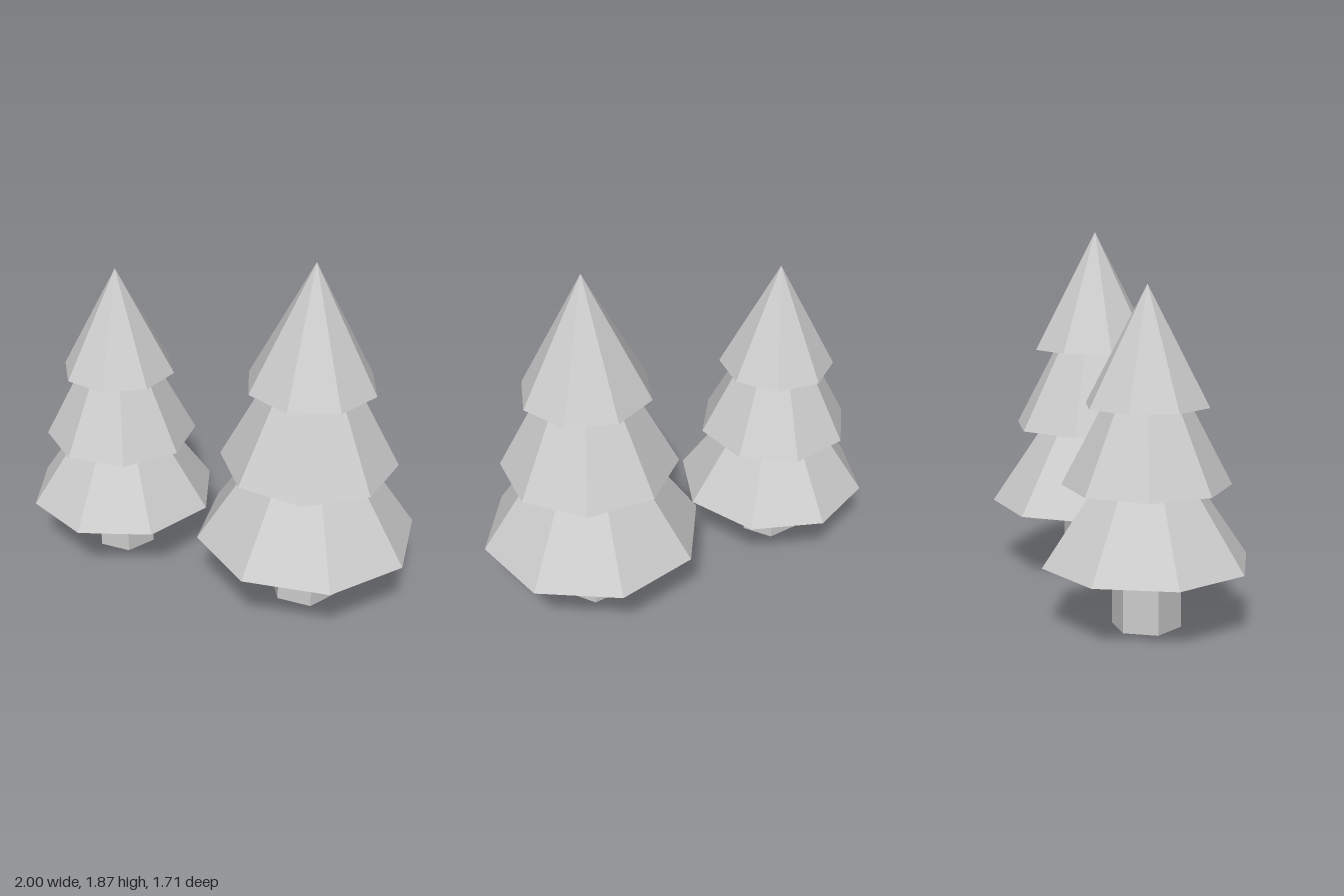
import * as THREE from 'three';

const needleGrey = new THREE.MeshStandardMaterial({ color: 0xcccccc });
needleGrey.name = 'lightGrey';

// Unshared corners give every facet its own flat normal
function facetedMesh(geometry, name) {
  const flat = geometry.index ? geometry.toNonIndexed() : geometry;
  flat.computeVertexNormals();
  const mesh = new THREE.Mesh(flat, needleGrey);
  mesh.name = name;
  return mesh;
}

// Six-sided trunk with a hollowed underside
function makeTrunk(radius, height) {
  const inner = radius * 0.7;
  const profile = [
    [inner, height], [inner, 0.02], [radius, 0], [radius, height],
  ].map(([r, y]) => new THREE.Vector2(r, y));
  return facetedMesh(new THREE.LatheGeometry(profile, 6), 'trunk');
}

// Eight-sided skirt of branches, closed underneath
function makeTier({ base, top, radius, topRadius, turn }, name) {
  const height = top - base;
  const geometry = new THREE.CylinderGeometry(
    topRadius, radius, height, 8, 1, false, THREE.MathUtils.degToRad(turn));
  geometry.translate(0, base + height / 2, 0);
  return facetedMesh(geometry, name);
}

function makeTree(name, x, z, trunkRadius, tiers) {
  const tree = new THREE.Group();
  tree.name = name;
  tree.position.set(x, 0, z);
  tree.add(makeTrunk(trunkRadius, tiers[0].base + 0.002));
  const names = ['lowerBranches', 'middleBranches', 'topBranches'];
  tiers.forEach((tier, i) => tree.add(makeTier(tier, names[i])));
  return tree;
}

export function createModel() {
  const model = new THREE.Group();
  model.name = 'pineTrees';
  model.add(
    makeTree('tallTree', 0.416, 0.275, 0.185, [
      { base: 0.37, top: 0.8, radius: 0.58, topRadius: 0.29, turn: 0 },
      { base: 0.8, top: 1.23, radius: 0.457, topRadius: 0.228, turn: 29 },
      { base: 1.23, top: 1.87, radius: 0.338, topRadius: 0, turn: 12.5 },
    ]),
    makeTree('shortTree', -0.5, -0.356, 0.17, [
      { base: 0.32, top: 0.695, radius: 0.512, topRadius: 0.255, turn: 12 },
      { base: 0.695, top: 1.075, radius: 0.406, topRadius: 0.208, turn: 42 },
      { base: 1.075, top: 1.643, radius: 0.304, topRadius: 0, turn: 24.5 },
    ]),
  );
  return model;
}
